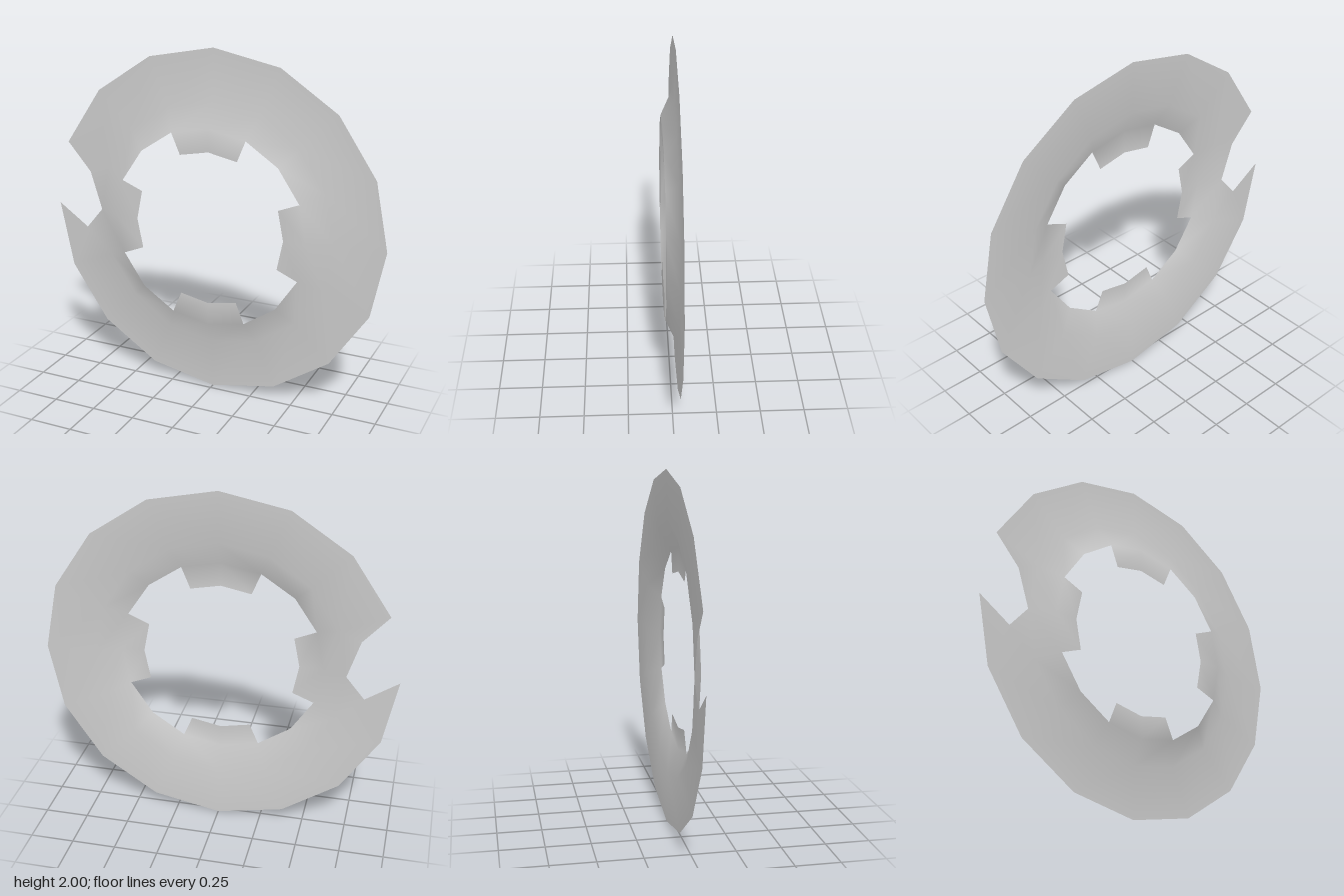
import * as THREE from 'three';

const SIDES = 16;
// Rings from the outer rim to the tips of the tabs: [radius, z]
const RINGS = [[1, -0.035], [0.71, -0.028], [0.575, 0.035], [0.444, 0.032]];

export function createModel() {
  const positions = [];
  const index = [];
  const id = (ring, k) => ring * SIDES + (k % SIDES);

  for (const [r, z] of RINGS) {
    for (let k = 0; k < SIDES; k++) {
      const a = (k / SIDES) * Math.PI * 2;
      positions.push(r * Math.cos(a), 1 + r * Math.sin(a), z);
    }
  }
  // Two extra corners of the notch broken out of the rim
  const upper = positions.length / 3;
  const lower = upper + 1;
  positions.push(-0.78, 1.22, -0.031, -0.815, 0.875, -0.031);

  const quad = (ring, k) => {
    const a = id(ring, k), b = id(ring, k + 1);
    const c = id(ring + 1, k + 1), d = id(ring + 1, k);
    index.push(a, b, c, a, c, d);
  };

  for (let k = 0; k < SIDES; k++) {
    // Flat rim, left open around the notch
    if (k === 7) {
      index.push(id(0, 7), upper, id(1, 7), upper, id(1, 8), id(1, 7));
    } else if (k === 8) {
      index.push(lower, id(0, 8), id(0, 9), lower, id(0, 9), id(1, 9), lower, id(1, 9), id(1, 8));
    } else {
      quad(0, k);
    }
    // Raised slope
    quad(1, k);
    // Four inner tabs, each two sectors wide
    if (k % 4 === 0 || k % 4 === 3) quad(2, k);
  }

  const geometry = new THREE.BufferGeometry();
  geometry.setAttribute('position', new THREE.Float32BufferAttribute(positions, 3));
  geometry.setIndex(index);
  geometry.computeVertexNormals();

  const ring = new THREE.Mesh(
    geometry,
    new THREE.MeshStandardMaterial({ color: 0xcccccc, side: THREE.DoubleSide })
  );
  ring.name = 'notchedRing';

  const group = new THREE.Group();
  group.name = 'brokenRingPlate';
  group.add(ring);
  return group;
}
